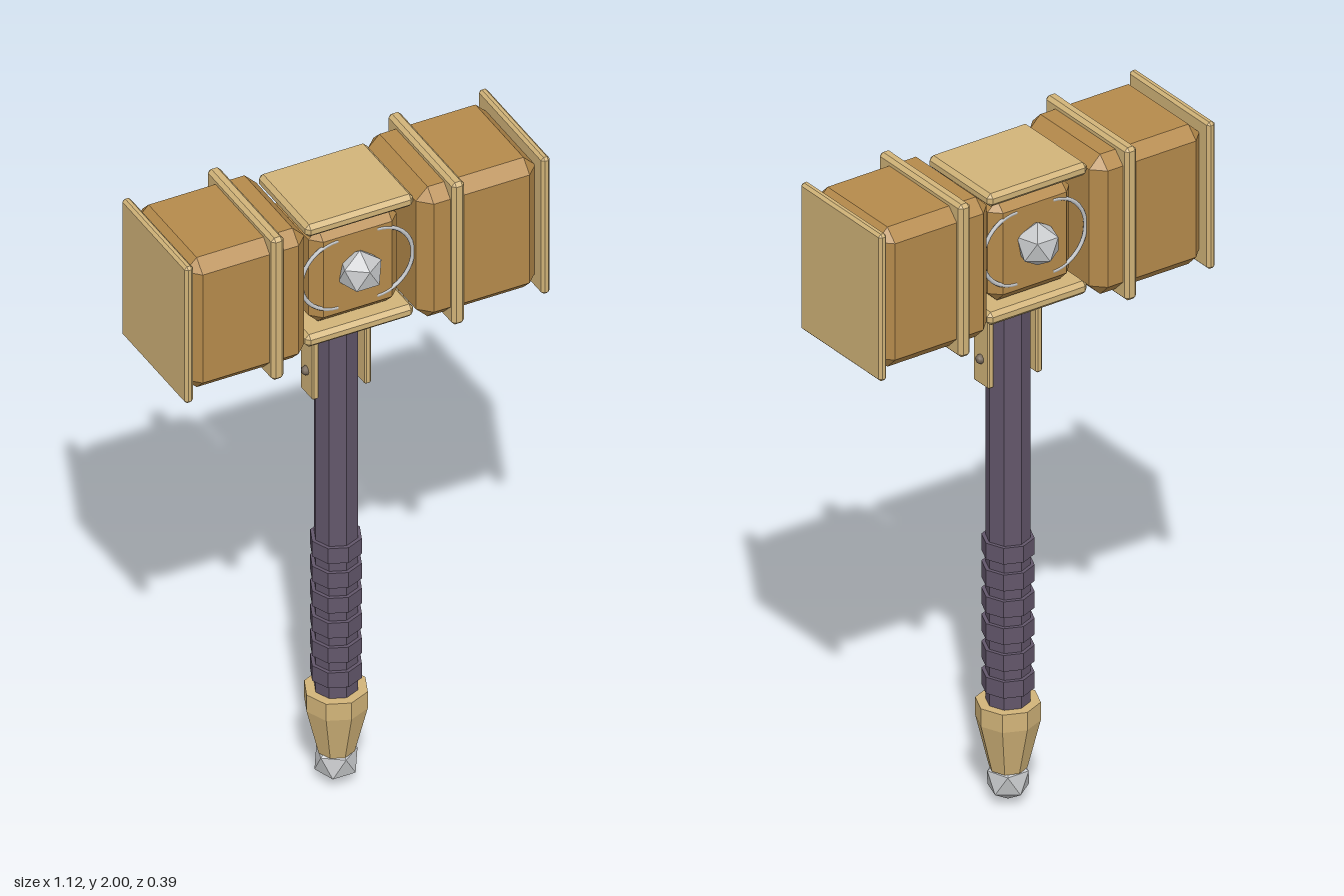
import * as THREE from 'three';
import { ConvexGeometry } from 'three/addons/geometries/ConvexGeometry.js';

const mat = (name, color) => {
  const m = new THREE.MeshStandardMaterial({ color });
  m.name = name;
  return m;
};

// Box with flat chamfers on every edge and corner
function chamferBox(w, h, d, c) {
  const pts = [];
  for (const x of [-1, 1]) for (const y of [-1, 1]) for (const z of [-1, 1]) {
    const [a, b, e] = [w / 2, h / 2, d / 2];
    pts.push(
      new THREE.Vector3(x * a, y * (b - c), z * (e - c)),
      new THREE.Vector3(x * (a - c), y * b, z * (e - c)),
      new THREE.Vector3(x * (a - c), y * (b - c), z * e)
    );
  }
  return new ConvexGeometry(pts);
}

// Faceted octagonal cylinder
function octagon(top, bottom, height) {
  const g = new THREE.CylinderGeometry(top, bottom, height, 8).toNonIndexed();
  g.computeVertexNormals();
  return g;
}

// Twenty-sided stone with a corner pointing straight up
function stone(r) {
  return new THREE.IcosahedronGeometry(r, 0).rotateX(-Math.atan((1 + Math.sqrt(5)) / 2));
}

export function createModel() {
  const model = new THREE.Group();
  model.name = 'hammer';
  const bronze = mat('bronze', 0xb58a4b);
  const gold = mat('pale gold', 0xd2b479);
  const leather = mat('dark leather', 0x62566a);
  const silver = mat('silver', 0xc6c8ca);
  const iron = mat('dark iron', 0x77695a);

  const add = (name, geometry, material, x, y, z) => {
    const mesh = new THREE.Mesh(geometry, material);
    mesh.name = name;
    mesh.position.set(x, y, z);
    model.add(mesh);
    return mesh;
  };

  // Head centre between two plates
  add('headCore', chamferBox(0.27, 0.31, 0.25, 0.03), bronze, 0, 1.765, 0);
  add('topPlate', chamferBox(0.33, 0.04, 0.29, 0.012), gold, 0, 1.95, 0);
  add('bottomPlate', chamferBox(0.33, 0.04, 0.29, 0.012), gold, 0, 1.585, 0);

  for (const s of [-1, 1]) {
    const side = s > 0 ? 'left' : 'right';
    // Striking blocks with band and end plate
    add(side + 'HeadBlock', chamferBox(0.365, 0.43, 0.35, 0.036), bronze, s * 0.353, 1.765, 0);
    add(side + 'HeadBand', chamferBox(0.038, 0.47, 0.384, 0.01), gold, s * 0.276, 1.765, 0);
    add(side + 'EndPlate', chamferBox(0.026, 0.452, 0.374, 0.008), gold, s * 0.545, 1.765, 0);

    // Straps running down the shaft, with rivets
    add(side + 'Strap', chamferBox(0.02, 0.265, 0.07, 0.004), gold, s * 0.08, 1.435, 0);
    for (const y of [1.383, 1.553]) {
      add(side + 'Rivet', new THREE.SphereGeometry(0.014, 8, 6), iron, s * 0.092, y, 0);
    }

    // Stone on the front and back of the head
    add(s > 0 ? 'frontStone' : 'backStone', stone(0.066), silver, 0, 1.77, s * 0.138);

    // Half rings flanking each stone
    for (const x of [-1, 1]) {
      const ring = add('halfRing', new THREE.TorusGeometry(0.11, 0.006, 6, 20, Math.PI), silver,
        x * 0.06, 1.768, s * 0.122);
      ring.rotation.z = -x * Math.PI / 2;
    }
  }

  // Shaft and grip wraps
  add('shaft', octagon(0.062, 0.062, 1.29), leather, 0, 0.925, 0);
  for (let i = 0; i < 6; i++) {
    add('gripWrap', octagon(0.073, 0.073, 0.05), leather, 0, 0.372 + i * 0.0825, 0);
  }

  // Pommel
  add('pommelCollar', octagon(0.09, 0.09, 0.055), gold, 0, 0.2775, 0);
  add('pommelTaper', octagon(0.09, 0.053, 0.15), gold, 0, 0.175, 0);
  add('pommelStone', stone(0.066), silver, 0, 0.066, 0);

  return model;
}
